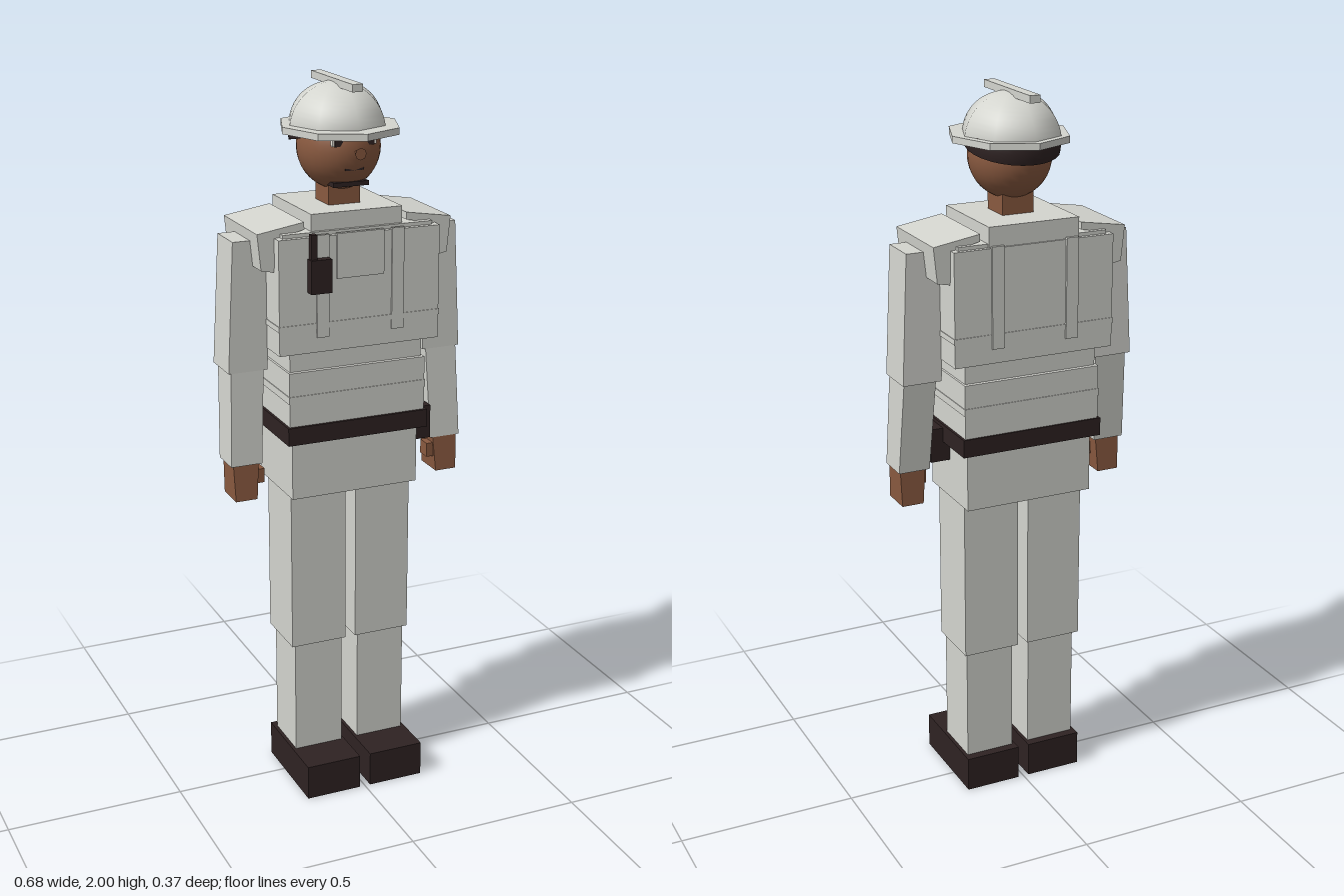
import * as THREE from 'three';

const mat = (name, color) => {
  const m = new THREE.MeshStandardMaterial({ color });
  m.name = name;
  return m;
};

export function createModel() {
  const grey = mat('pale grey cloth', 0xd4d5cf);
  const dark = mat('dark leather', 0x2e2222);
  const skin = mat('brown skin', 0x8a5a40);
  const white = mat('eye white', 0xe8e4dc);
  const root = new THREE.Group();

  const add = (name, geo, material, parent = root) => {
    const m = new THREE.Mesh(geo, material);
    m.name = name;
    parent.add(m);
    return m;
  };
  // Box given by its limits on each axis
  const box = (name, material, [x0, x1], [y0, y1], [z0, z1], parent = root) => {
    const m = add(name, new THREE.BoxGeometry(x1 - x0, y1 - y0, z1 - z0), material, parent);
    m.position.set((x0 + x1) / 2, (y0 + y1) / 2, (z0 + z1) / 2);
    return m;
  };
  // Box whose top and bottom ends are rectangles [x0, x1, z0, z1]
  const limb = (name, material, y0, y1, low, high, parent) => {
    const g = new THREE.BoxGeometry(1, 1, 1);
    const p = g.attributes.position;
    for (let i = 0; i < p.count; i++) {
      const top = p.getY(i) > 0, e = top ? high : low;
      p.setXYZ(i, p.getX(i) > 0 ? e[1] : e[0], top ? y1 : y0, p.getZ(i) > 0 ? e[3] : e[2]);
    }
    g.computeVertexNormals();
    return add(name, g, material, parent);
  };

  // Trunk
  box('pelvis', grey, [-0.185, 0.185], [0.89, 1.07], [-0.135, 0.105]);
  box('belt', dark, [-0.205, 0.205], [1.055, 1.105], [-0.157, 0.13]);
  box('waist', grey, [-0.198, 0.198], [1.1, 1.255], [-0.152, 0.122]);
  box('midriff', grey, [-0.192, 0.192], [1.25, 1.33], [-0.14, 0.11]);
  box('waistBand', grey, [-0.2, 0.2], [1.17, 1.19], [-0.154, 0.124]);
  box('vest', grey, [-0.23, 0.23], [1.31, 1.62], [-0.163, 0.135]);
  box('vestHem', grey, [-0.232, 0.232], [1.375, 1.39], [-0.165, 0.137]);
  box('yoke', grey, [-0.214, 0.214], [1.61, 1.63], [-0.152, 0.122]);
  box('collar', grey, [-0.13, 0.13], [1.62, 1.675], [-0.158, 0.112]);
  box('chestPocket', grey, [-0.068, 0.066], [1.505, 1.625], [0.13, 0.141]);
  box('radio', dark, [-0.15, -0.092], [1.475, 1.565], [0.135, 0.162]);
  box('radioAntenna', dark, [-0.146, -0.13], [1.56, 1.63], [0.135, 0.154]);
  box('beltPouch', dark, [0.18, 0.242], [1.0, 1.095], [-0.02, 0.075]);

  // Mirrored parts, drawn on the +x side
  for (const s of [1, -1]) {
    const side = s > 0 ? 'left' : 'right';
    const X = (a, b) => (s > 0 ? [a, b] : [-b, -a]);
    const R = (a, b, c, d) => [...X(a, b), c, d];

    box(side + 'FrontStrap', grey, X(0.09, 0.125), [1.35, 1.625], [0.13, 0.139]);
    box(side + 'BackStrap', grey, X(0.09, 0.125), [1.35, 1.625], [-0.169, -0.16]);

    // Shoulder guard: sloping plate with an outer flap
    const pad = new THREE.Shape([
      [0.146, 1.635], [0.146, 1.655], [0.277, 1.634], [0.267, 1.537],
      [0.232, 1.53], [0.22, 1.62],
    ].map(([x, y]) => new THREE.Vector2(x * s, y)));
    const padGeo = new THREE.ExtrudeGeometry(pad, { depth: 0.245, bevelEnabled: false });
    padGeo.translate(0, 0, -0.14);
    add(side + 'ShoulderGuard', padGeo, grey);

    limb(side + 'UpperArm', grey, 1.25, 1.605, R(0.23, 0.34, -0.073, 0.045), R(0.215, 0.322, -0.068, 0.045));
    limb(side + 'Forearm', grey, 0.99, 1.257, R(0.253, 0.342, -0.036, 0.056), R(0.24, 0.332, -0.06, 0.042));
    limb(side + 'Hand', skin, 0.89, 0.995, R(0.27, 0.332, -0.03, 0.06), R(0.262, 0.335, -0.026, 0.052));
    box(side + 'Thumb', skin, X(0.245, 0.28), [0.932, 0.972], [0.01, 0.05]);

    box(side + 'Thigh', grey, X(0.015, 0.178), [0.43, 0.9], [-0.096, 0.075]);
    box(side + 'Shin', grey, X(0.025, 0.167), [0.09, 0.44], [-0.08, 0.068]);
    box(side + 'Boot', dark, X(0.016, 0.177), [0, 0.1], [-0.105, 0.182]);

    // Eyes
    box(side + 'EyeWhite', white, X(0.028, 0.062), [1.841, 1.859], [0.075, 0.094]);
    box(side + 'Pupil', dark, X(0.034, 0.056), [1.84, 1.86], [0.09, 0.097]);
  }

  // Head
  box('neck', skin, [-0.045, 0.045], [1.66, 1.74], [-0.06, 0.03]);
  const head = add('head', new THREE.SphereGeometry(1, 28, 20), skin);
  head.scale.set(0.111, 0.115, 0.117);
  head.position.set(0, 1.824, -0.01);
  const nose = add('nose', new THREE.ConeGeometry(0.016, 0.04, 8), skin);
  nose.rotation.x = -Math.PI / 2;
  nose.position.set(0, 1.825, 0.115);
  box('mouth', dark, [-0.026, 0.026], [1.776, 1.782], [0.085, 0.096]);
  box('chinStrap', dark, [-0.05, 0.05], [1.73, 1.742], [0.03, 0.075]);

  // Hair cap, lower at the back
  const hairMat = dark.clone();
  hairMat.name = 'dark hair';
  hairMat.side = THREE.DoubleSide;
  const hair = add('hair', new THREE.SphereGeometry(1, 28, 14, 0, Math.PI * 2, 0, Math.PI * 0.53), hairMat);
  hair.scale.set(0.126, 0.116, 0.129);
  hair.position.set(0, 1.857, -0.027);
  hair.rotation.x = -0.2;

  // Helmet: eight-sided dome, brim and crest
  const dome = add('helmetDome', new THREE.SphereGeometry(1, 8, 14, 0, Math.PI * 2, 0, Math.PI / 2), grey);
  dome.scale.set(0.134, 0.122, 0.144);
  dome.position.set(0, 1.87, -0.02);
  const brim = add('helmetBrim', new THREE.CylinderGeometry(1, 1, 0.018, 8).toNonIndexed(), grey);
  brim.geometry.computeVertexNormals();
  brim.scale.set(0.161, 1, 0.181);
  brim.position.set(0, 1.874, -0.004);
  box('helmetCrest', grey, [-0.015, 0.015], [1.98, 2], [-0.158, 0.114]);

  return root;
}
